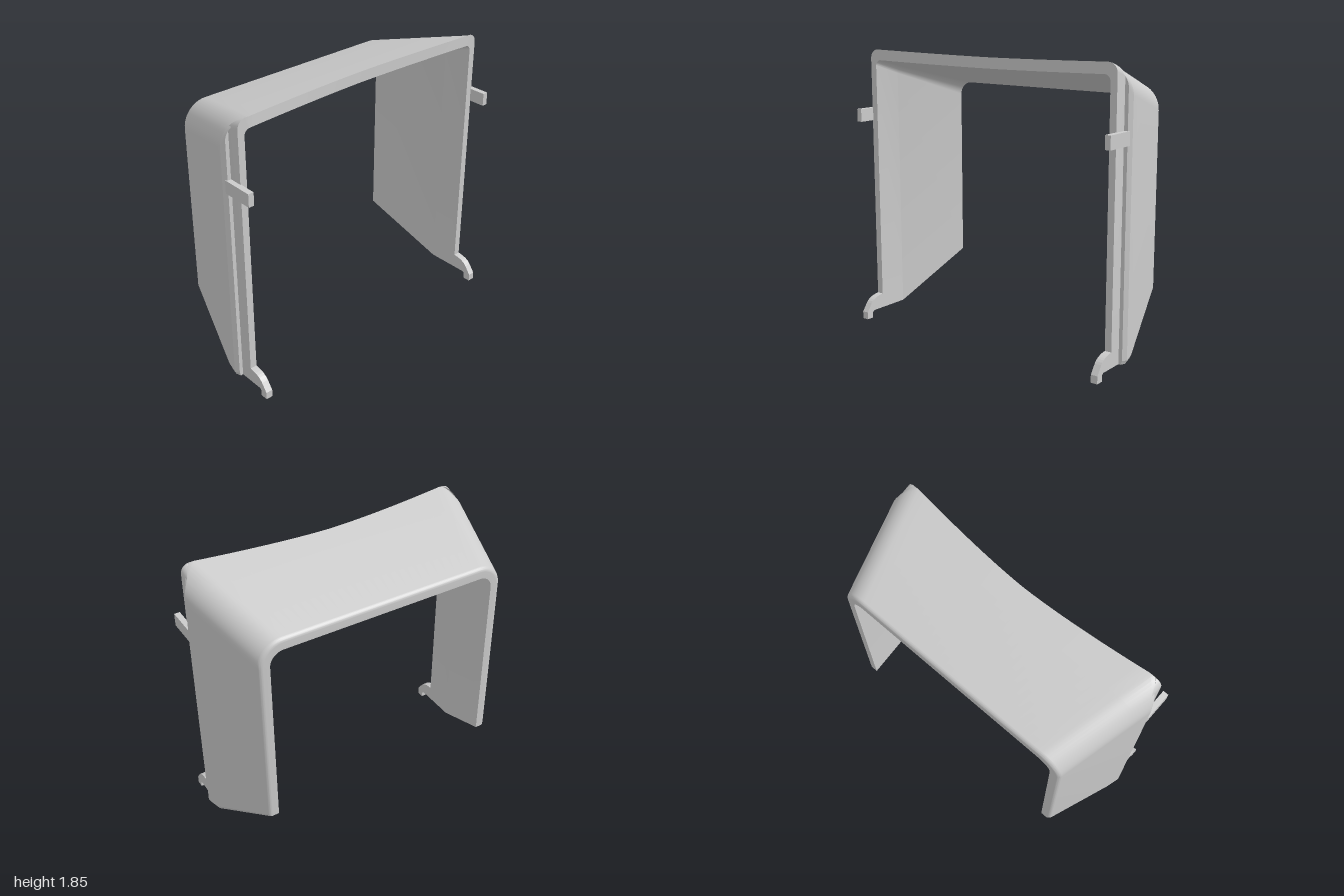
import * as THREE from 'three';
import { toCreasedNormals } from 'three/addons/utils/BufferGeometryUtils.js';

const BACK = -0.43, KINK = 0.08, FRONT = 0.285;
const lerp = THREE.MathUtils.lerp;

// heights and half-widths of the flared arch at depth z
const topY = (z) => 1.66 + 0.266 * (z - BACK);
const bottomY = (z) => (z > KINK ? 0.05 : 0.05 + (KINK - z) * 0.588);
const outerW = (z) => 0.84 + 0.267 * (z - BACK);
const innerW = (z) => Math.min(0.915, 0.775 + 0.2745 * (z - BACK));

// point on an arch; u names a place on its side, corner or top
function arch(u, z, w, h, r) {
  if (u.part === 'side') return new THREE.Vector3(w, lerp(bottomY(z), h - r, u.t), z);
  if (u.part === 'top') return new THREE.Vector3((w - r) * (1 - u.t), h, z);
  const a = (u.t * Math.PI) / 2;
  return new THREE.Vector3(w - r + r * Math.cos(a), h - r + r * Math.sin(a), z);
}

// closed cross-section of the wall at u: outer face, front step, lip, inner face
function wallRing(u) {
  const outer = (z, inset = 0) => arch(u, z, outerW(z) - inset, topY(z) - inset, 0.16 - inset);
  const rib = (z) => arch(u, z, 0.96, topY(z), 0.06);
  const inner = (z) => arch(u, z, innerW(z), topY(z) - 0.07, 0.09 - 0.07 * (z - BACK));
  const onTop = u.part === 'top';
  const lipZ = onTop ? 0.22 + 0.065 * Math.pow(1 - u.t, 1.6) : FRONT;
  const rise = u.part === 'corner' ? 1 - Math.cos((u.t * Math.PI) / 2) : 0;
  const edgeZ = onTop ? lipZ : lerp(0.17, FRONT, rise);
  const stepZ = Math.min(edgeZ + 0.03, lipZ);
  const bevel = u.part === 'side' && u.t === 0 ? 0.012 : 0;

  const ring = [];
  for (let i = 0; i <= 10; i++) { // rounded back edge
    const a = (i / 10) * Math.PI / 2;
    ring.push(outer(BACK + 0.022 * (1 - Math.sin(a)), Math.max(bevel, 0.022 * (1 - Math.cos(Math.PI / 2 - a)))));
  }
  ring.length = 0;
  for (let i = 0; i <= 10; i++) {
    const a = (i / 10) * Math.PI / 2;
    ring.push(outer(BACK + 0.022 * (1 - Math.cos(a)), Math.max(bevel, 0.022 * (1 - Math.sin(a)))));
  }
  ring.push(outer(KINK, bevel), outer(edgeZ, bevel));
  const step = rib(stepZ);
  const shoulder = outer(edgeZ, bevel).lerp(step, 0.4);
  shoulder.z = stepZ;
  ring.push(shoulder, step, rib(lipZ), inner(lipZ), inner(KINK), inner(BACK));
  return ring;
}

// sweep the wall section up one side, over the top and down the other
function hoodGeometry() {
  const half = [0, 0.015, 1].map((t) => ({ part: 'side', t }));
  for (let i = 1; i <= 12; i++) half.push({ part: 'corner', t: i / 12 });
  for (let i = 1; i <= 12; i++) half.push({ part: 'top', t: i / 12 });
  const rings = half.map(wallRing);
  const mirror = (ring) => ring.map((p) => new THREE.Vector3(-p.x, p.y, p.z));
  rings.push(...rings.slice(0, -1).reverse().map(mirror));

  const pos = [];
  const tri = (a, b, c) => {
    const n = b.clone().sub(a).cross(c.clone().sub(a));
    if (n.length() > 1e-9) pos.push(...a, ...b, ...c);
  };
  const n = rings[0].length;
  for (let j = 0; j + 1 < rings.length; j++) {
    for (let i = 0; i < n; i++) {
      const k = (i + 1) % n;
      const a = rings[j][i], b = rings[j + 1][i], c = rings[j + 1][k], d = rings[j][k];
      tri(a, b, c);
      tri(a, c, d);
    }
  }
  // undersides of both legs, always facing down
  for (const ring of [rings[0], rings[rings.length - 1]]) {
    const flat = ring.map((p) => new THREE.Vector2(p.x, p.z));
    for (const [i, j, k] of THREE.ShapeUtils.triangulateShape(flat, [])) {
      const a = ring[i], b = ring[j], c = ring[k];
      const up = b.clone().sub(a).cross(c.clone().sub(a)).y > 0;
      if (up) tri(a, c, b); else tri(a, b, c);
    }
  }
  const geo = new THREE.BufferGeometry();
  geo.setAttribute('position', new THREE.Float32BufferAttribute(pos, 3));
  return toCreasedNormals(geo, 0.24);
}

// hooked foot, drawn in (z, y) and extruded across the lip
function footGeometry() {
  const s = new THREE.Shape();
  s.moveTo(0.2, 0.05);
  s.lineTo(0.37, 0.05);
  s.quadraticCurveTo(0.385, 0.045, 0.385, 0.025);
  s.lineTo(0.385, 0);
  s.lineTo(0.435, 0);
  s.lineTo(0.435, 0.05);
  s.lineTo(0.395, 0.105);
  s.quadraticCurveTo(0.365, 0.145, 0.285, 0.15);
  s.lineTo(0.2, 0.15);
  const geo = new THREE.ExtrudeGeometry(s, { depth: 0.045, bevelEnabled: false, curveSegments: 6 });
  return geo.rotateY(-Math.PI / 2);
}

export function createModel() {
  const group = new THREE.Group();
  const material = new THREE.MeshStandardMaterial({ color: 0xcccccc });
  const add = (name, geo, x = 0, y = 0, z = 0) => {
    const mesh = new THREE.Mesh(geo, material);
    mesh.name = name;
    mesh.position.set(x, y, z);
    group.add(mesh);
  };

  add('hood', hoodGeometry());

  const foot = footGeometry();
  const tab = new THREE.BoxGeometry(0.037, 0.085, 0.21);
  for (const [side, sign] of [['left', 1], ['right', -1]]) {
    add(side + 'Foot', foot, sign > 0 ? 0.96 : -0.915);
    add(side + 'Tab', tab, sign * 0.974, 1.415, 0.292);
  }
  return group;
}
